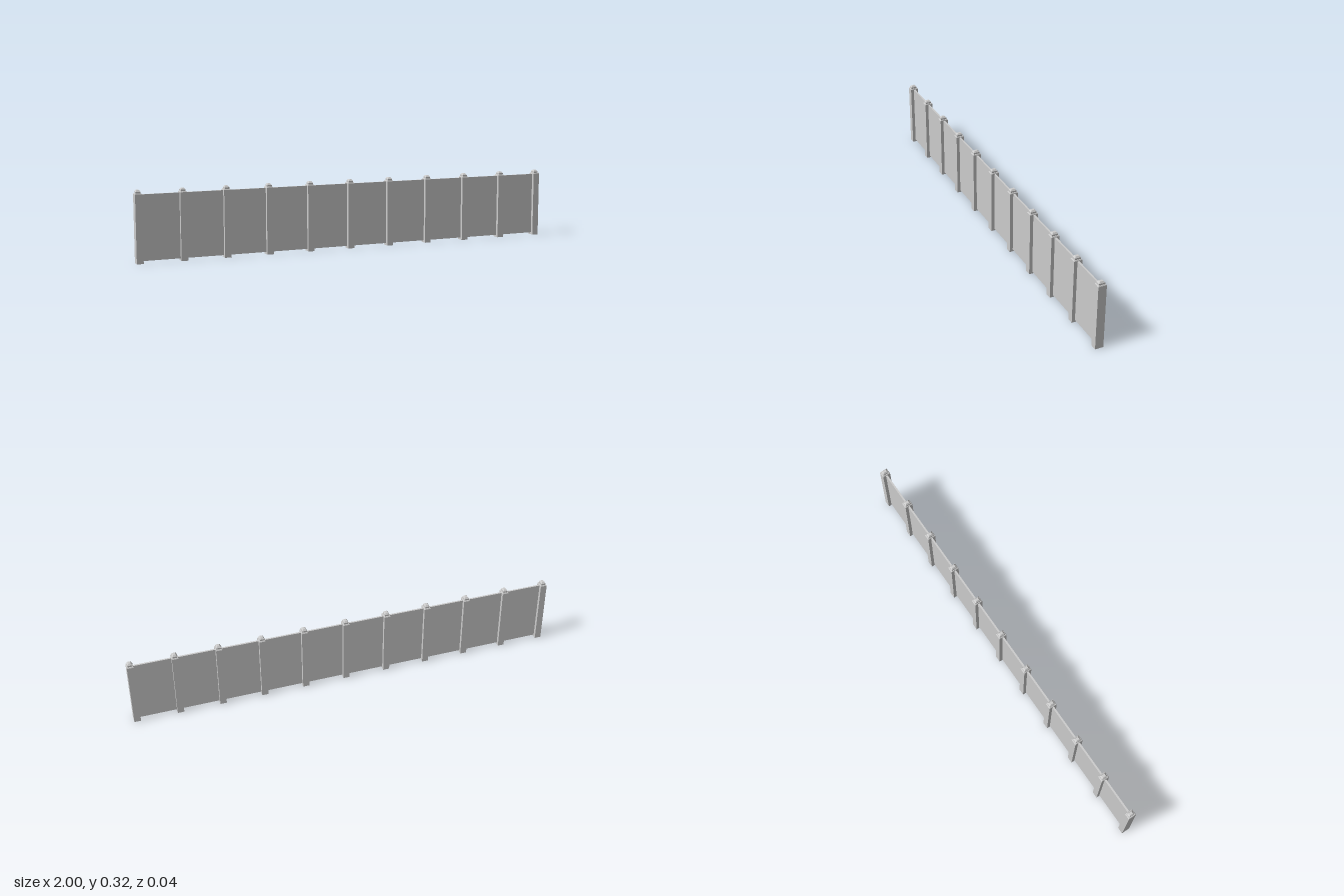
import * as THREE from 'three';

const POSTS = 11, SPACING = 0.197;
const material = new THREE.MeshStandardMaterial({ color: 0xcccccc, flatShading: true });

// Box from y0 to y1 whose top face may be smaller than its base
function block(name, w, d, y0, y1, topW = w, topD = d) {
  const geo = new THREE.BoxGeometry(w, y1 - y0, d);
  const p = geo.attributes.position;
  for (let i = 0; i < p.count; i++) {
    if (p.getY(i) > 0) {
      p.setX(i, p.getX(i) * topW / w);
      p.setZ(i, p.getZ(i) * topD / d);
    }
  }
  geo.translate(0, (y0 + y1) / 2, 0);
  geo.computeVertexNormals();
  const mesh = new THREE.Mesh(geo, material);
  mesh.name = name;
  return mesh;
}

// Square post with a bevelled shoulder and a stepped cap
function makePost() {
  const post = new THREE.Group();
  post.name = 'post';
  post.add(
    block('postShaft', 0.03, 0.038, 0, 0.302),
    block('postShoulder', 0.03, 0.038, 0.302, 0.306, 0.026, 0.033),
    block('capBase', 0.021, 0.028, 0.306, 0.313),
    block('capTop', 0.021, 0.028, 0.313, 0.32, 0.011, 0.016)
  );
  return post;
}

export function createModel() {
  const fence = new THREE.Group();
  fence.name = 'fence';
  for (let i = 0; i < POSTS; i++) {
    const x = (i - (POSTS - 1) / 2) * SPACING;
    const post = makePost();
    post.position.x = x;
    fence.add(post);
    // Thin wall panel reaching to the next post
    if (i < POSTS - 1) {
      const panel = block('panel', SPACING - 0.03, 0.008, 0.01, 0.3);
      panel.position.x = x + SPACING / 2;
      fence.add(panel);
    }
  }
  return fence;
}
